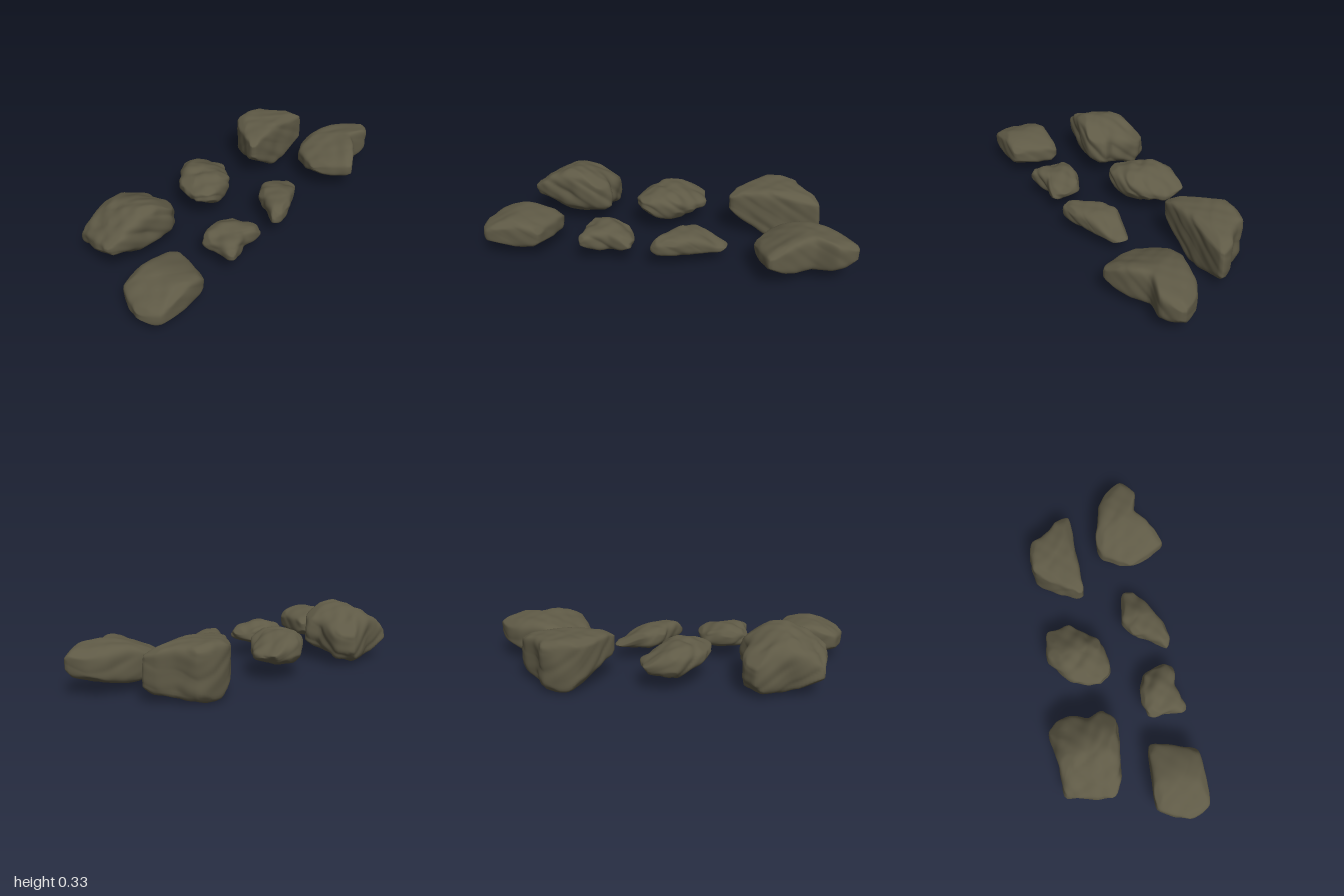
import * as THREE from 'three';

const stone = new THREE.MeshStandardMaterial({ color: 0x5f5a46 });
stone.name = 'olive stone';

const AROUND = 80, ROWS = 44, CHIPS = 10;

// Smooth value along three heights: low x, middle, high x
function along([a, b, c], t) {
  const f = THREE.MathUtils.smoothstep((t * 2) % 1, 0, 1);
  if (t >= 1) return c;
  return t < 0.5 ? THREE.MathUtils.lerp(a, b, f) : THREE.MathUtils.lerp(b, c, f);
}

// Weathered surface: broad waves, sharp ridges and fine grain
function weather(p, seed) {
  const wave = Math.sin(p.x * 27 + seed + 2 * Math.sin(p.z * 19)) * Math.sin(p.z * 31 + p.y * 23 + seed * 2);
  const ridge = Math.abs(Math.sin(p.x * 17 - p.z * 22 + p.y * 29 + seed * 3)) - 0.6;
  const grain = Math.sin(p.x * 61 + p.y * 47 + seed) * Math.sin(p.z * 57 - p.y * 39);
  return 0.6 * wave + 0.7 * ridge + 0.3 * grain;
}

// Slice slanted facets off the upper and lower edges
function chipEdges(points, middle, seed) {
  for (let i = 0; i < CHIPS; i++) {
    const a = i * 1.257 + seed * 1.7;
    const lift = (i % 2 ? -1 : 1) * (1.1 + 0.5 * Math.sin(i * 3 + seed));
    const n = new THREE.Vector3(Math.cos(a), lift, Math.sin(a)).normalize();
    const reach = points.map((p) => n.dot(p) - n.dot(middle));
    const limit = 0.94 * Math.max(...reach);
    points.forEach((p, k) => p.addScaledVector(n, -0.9 * Math.max(0, reach[k] - limit)));
  }
}

// Join the rings, closing each end with a fan
function joinRings(points) {
  const index = [], last = points.length - 1;
  const id = (j, i) => 1 + j * AROUND + (i % AROUND);
  for (let i = 0; i < AROUND; i++) {
    index.push(0, id(0, i), id(0, i + 1));
    for (let j = 0; j < ROWS - 2; j++) {
      index.push(id(j, i), id(j + 1, i), id(j + 1, i + 1));
      index.push(id(j, i), id(j + 1, i + 1), id(j, i + 1));
    }
    index.push(last, id(ROWS - 2, i + 1), id(ROWS - 2, i));
  }
  const geometry = new THREE.BufferGeometry().setFromPoints(points);
  geometry.setIndex(index);
  geometry.computeVertexNormals();
  return geometry;
}

// outline: plan corners [x, z], clockwise from above; top and base: heights along x;
// lean: rise of the whole slab towards +z; square: how boxy the side section is; rough: weathering depth
function makeRock(name, seed, { outline, top, base, lean = 0, square, rough }) {
  const corners = outline.map(([x, z]) => new THREE.Vector3(x, 0, z));
  const rim = new THREE.CatmullRomCurve3(corners, true, 'catmullrom', 0.25).getSpacedPoints(AROUND).slice(0, AROUND);
  const box = new THREE.Box3().setFromPoints(rim);
  const centre = box.getCenter(new THREE.Vector3());
  const width = box.max.x - box.min.x;
  const points = [];

  // r is the share of the outline, s runs from -1 (underside) to 1 (top)
  function place(edge, r, s) {
    const p = centre.clone().lerp(edge, r);
    const t = THREE.MathUtils.clamp((p.x - box.min.x) / width, 0, 1);
    p.y = THREE.MathUtils.lerp(along(base, t), along(top, t), (s + 1) / 2) + lean * (p.z - centre.z);
    const out = new THREE.Vector3(p.x - centre.x, 0, p.z - centre.z).normalize().multiplyScalar(r * r);
    out.y = s * 0.8;
    points.push(p.addScaledVector(out, rough * weather(p, seed)));
  }

  place(centre, 0, -1);
  for (let j = 1; j < ROWS; j++) {
    const a = (j / ROWS - 0.5) * Math.PI;
    const c = Math.cos(a), s = Math.sin(a);
    const scale = (c ** square + Math.abs(s) ** square) ** (-1 / square);
    rim.forEach((edge) => place(edge, c * scale, s * scale));
  }
  place(centre, 0, 1);

  chipEdges(points, centre.clone().setY((top[1] + base[1]) / 2), seed);
  const mesh = new THREE.Mesh(joinRings(points), stone);
  mesh.name = name;
  return mesh;
}

export function createModel() {
  const group = new THREE.Group();
  group.name = 'rocks';

  // Back row
  group.add(makeRock('largeBackLeftRock', 1, {
    outline: [[-0.83, -0.14], [-0.78, -0.37], [-0.6, -0.38], [-0.43, -0.41], [-0.365, -0.32], [-0.4, -0.19], [-0.375, -0.11], [-0.45, -0.05], [-0.58, -0.055], [-0.78, -0.09]],
    top: [0.23, 0.32, 0.26], base: [0.12, 0.05, 0.05], lean: 0.22, square: 4.2, rough: 0.01,
  }));
  group.add(makeRock('middleBackRock', 2, {
    outline: [[-0.22, -0.09], [-0.19, -0.23], [-0.03, -0.355], [0.14, -0.33], [0.155, -0.2], [0.03, -0.055], [-0.14, -0.015]],
    top: [0.23, 0.25, 0.18], base: [0.13, 0.08, 0.1], square: 3, rough: 0.011,
  }));
  group.add(makeRock('largeBackRightRock', 3, {
    outline: [[0.305, -0.12], [0.39, -0.265], [0.47, -0.345], [0.58, -0.36], [0.66, -0.335], [0.71, -0.235], [0.775, -0.18], [0.8, -0.1], [0.55, -0.095], [0.33, -0.09]],
    top: [0.28, 0.3, 0.27], base: [0.14, 0.01, 0.05], square: 9, rough: 0.006,
  }));

  // Front row
  group.add(makeRock('blockyFrontLeftRock', 4, {
    outline: [[-1, 0.24], [-0.92, 0.08], [-0.6, 0.1], [-0.61, 0.21], [-0.66, 0.345], [-0.8, 0.36], [-0.95, 0.35]],
    top: [0.18, 0.235, 0.2], base: [0.08, 0.07, 0.08], square: 5, rough: 0.004,
  }));
  group.add(makeRock('smallFrontRock', 5, {
    outline: [[-0.44, 0.22], [-0.43, 0.13], [-0.34, 0.115], [-0.2, 0.15], [-0.155, 0.26], [-0.18, 0.32], [-0.29, 0.31], [-0.43, 0.345]],
    top: [0.19, 0.205, 0.17], base: [0.09, 0.08, 0.09], square: 3.4, rough: 0.011,
  }));
  group.add(makeRock('slimFrontRock', 6, {
    outline: [[-0.06, 0.31], [-0.01, 0.235], [0.05, 0.14], [0.13, 0.095], [0.31, 0.125], [0.32, 0.195], [0.2, 0.265], [0.08, 0.32], [-0.02, 0.34]],
    top: [0.2, 0.195, 0.12], base: [0.08, 0.08, 0.07], square: 3.2, rough: 0.008,
  }));
  group.add(makeRock('largeFrontRightRock', 7, {
    outline: [[0.47, 0.22], [0.55, 0.06], [0.65, 0.035], [0.86, 0.09], [0.95, 0.15], [1, 0.25], [0.9, 0.315], [0.78, 0.29], [0.69, 0.355], [0.56, 0.41]],
    top: [0.19, 0.26, 0.24], base: [0.1, 0.06, 0.09], lean: 0.08, square: 5, rough: 0.005,
  }));

  // Rest the lowest rock on the ground
  group.position.y = -new THREE.Box3().setFromObject(group).min.y;
  return group;
}
